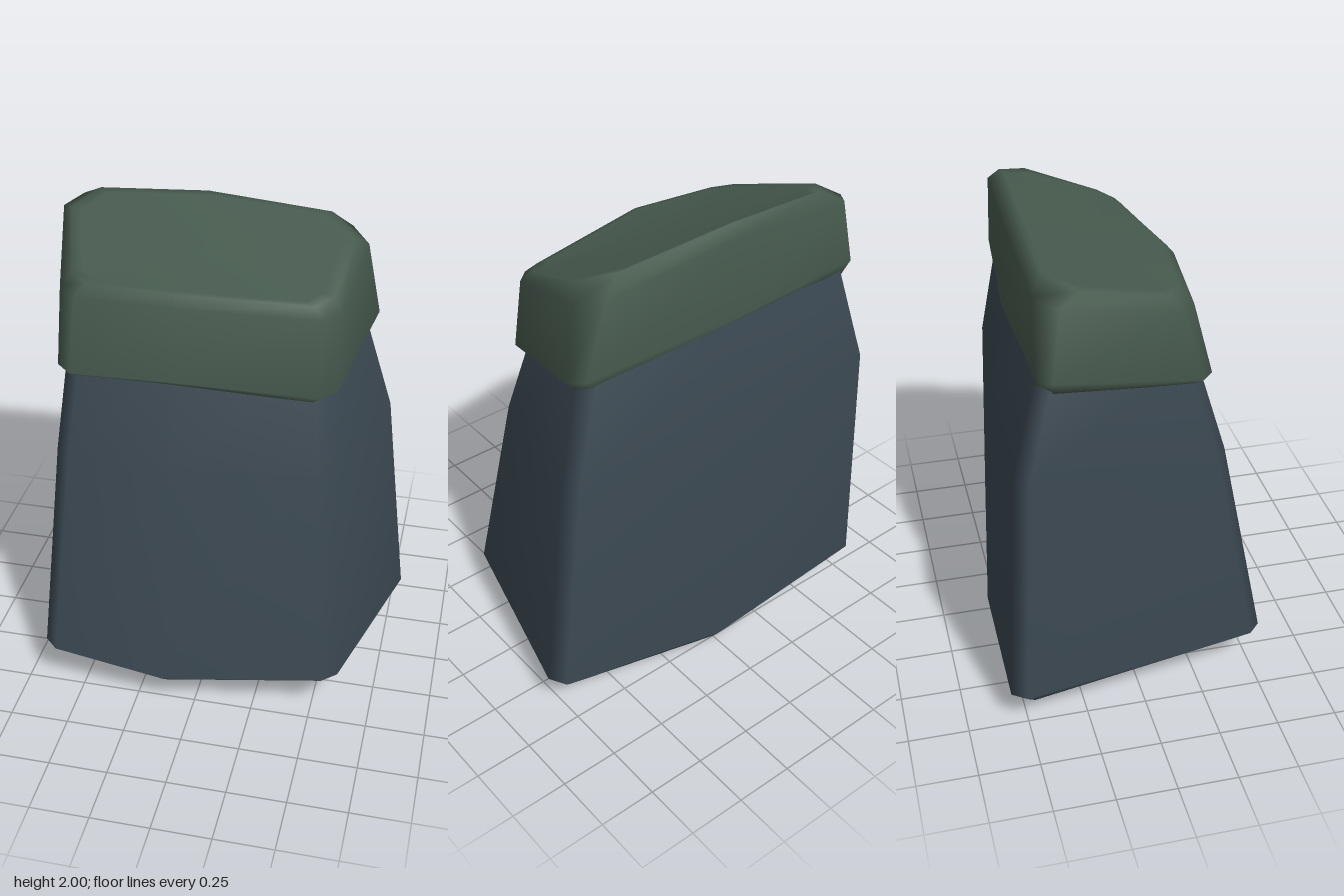
import * as THREE from 'three';

const stone = new THREE.MeshStandardMaterial({ color: 0x3b4852 });
stone.name = 'slate stone';
const moss = new THREE.MeshStandardMaterial({ color: 0x475a4e });
moss.name = 'moss green';

// Turns six outline points (right front, front middle, left front, left back,
// back middle, right back) into a loop with the four corners cut.
function cutCorners(points, cutFront, cutBack) {
  const p = points.map((q) => new THREE.Vector3(...q));
  const loop = [];
  p.forEach((v, i) => {
    if (i === 1 || i === 4) { loop.push(v); return; }
    const cut = i < 3 ? cutFront : cutBack;
    for (const other of [p[(i + 5) % 6], p[(i + 1) % 6]]) {
      const step = other.clone().sub(v).setLength(cut);
      loop.push(v.clone().add(step));
    }
  });
  return loop;
}

function centreOf(loop) {
  return loop.reduce((s, v) => s.add(v), new THREE.Vector3()).divideScalar(loop.length);
}

// Skins loops from bottom to top and closes both ends; an inner loop at each
// end keeps the end faces flat under smooth normals.
function skin(loops) {
  const inner = (loop) => {
    const c = centreOf(loop);
    return loop.map((v) => v.clone().lerp(c, 0.08));
  };
  const all = [inner(loops[0]), ...loops, inner(loops[loops.length - 1])];
  const n = loops[0].length;
  const verts = all.flat();
  const index = [];
  for (let r = 0; r < all.length - 1; r++) {
    for (let i = 0; i < n; i++) {
      const j = (i + 1) % n;
      const a = r * n + i, b = r * n + j, c = a + n, d = b + n;
      index.push(a, b, d, a, d, c);
    }
  }
  const top = (all.length - 1) * n;
  const low = verts.length;
  verts.push(centreOf(all[0]), centreOf(all[all.length - 1]));
  for (let i = 0; i < n; i++) {
    const j = (i + 1) % n;
    index.push(low, j, i, low + 1, top + i, top + j);
  }
  const g = new THREE.BufferGeometry().setFromPoints(verts);
  g.setIndex(index);
  g.computeVertexNormals();
  return g;
}

export function createModel() {
  const group = new THREE.Group();
  group.name = 'mossyRock';

  // Tapered boulder with a slanted underside
  const body = new THREE.Mesh(skin([
    cutCorners([[-0.61, 0.17, 0.48], [-0.13, 0.11, 0.52], [0.56, 0.15, 0.42],
      [0.76, 0.09, -0.39], [0, 0, -0.5], [-0.76, 0.11, -0.52]], 0.05, 0.05),
    cutCorners([[-0.66, 0.21, 0.53], [-0.13, 0.15, 0.56], [0.595, 0.19, 0.46],
      [0.81, 0.14, -0.42], [0, 0.06, -0.545], [-0.81, 0.17, -0.57]], 0.05, 0.06),
    cutCorners([[-0.605, 1.1, 0.355], [-0.13, 1.1, 0.38], [0.515, 1.1, 0.28],
      [0.7, 1.1, -0.41], [-0.05, 1.18, -0.51], [-0.81, 1.22, -0.53]], 0.05, 0.06),
    cutCorners([[-0.57, 1.55, 0.22], [-0.13, 1.55, 0.26], [0.46, 1.5, 0.16],
      [0.55, 1.62, -0.35], [-0.1, 1.68, -0.42], [-0.74, 1.66, -0.41]], 0.05, 0.06),
  ]), stone);
  body.name = 'rockBody';

  // Moss cap with an undercut rim and a top sloping toward the front
  const cap = new THREE.Mesh(skin([
    cutCorners([[-0.57, 1.42, 0.245], [-0.13, 1.45, 0.285], [0.46, 1.37, 0.18],
      [0.57, 1.5, -0.35], [-0.1, 1.56, -0.42], [-0.75, 1.57, -0.42]], 0.05, 0.06),
    cutCorners([[-0.6, 1.45, 0.29], [-0.13, 1.48, 0.32], [0.505, 1.42, 0.22],
      [0.625, 1.57, -0.375], [-0.13, 1.62, -0.445], [-0.8, 1.64, -0.43]], 0.05, 0.06),
    cutCorners([[-0.6, 1.75, 0.21], [-0.13, 1.77, 0.25], [0.505, 1.74, 0.17],
      [0.565, 1.89, -0.38], [-0.13, 1.96, -0.425], [-0.77, 1.92, -0.42]], 0.06, 0.09),
    cutCorners([[-0.56, 1.8, 0.165], [-0.13, 1.81, 0.215], [0.47, 1.78, 0.135],
      [0.52, 1.96, -0.345], [-0.13, 2, -0.38], [-0.72, 1.97, -0.37]], 0.06, 0.13),
  ]), moss);
  cap.name = 'mossCap';

  group.add(body, cap);
  return group;
}
